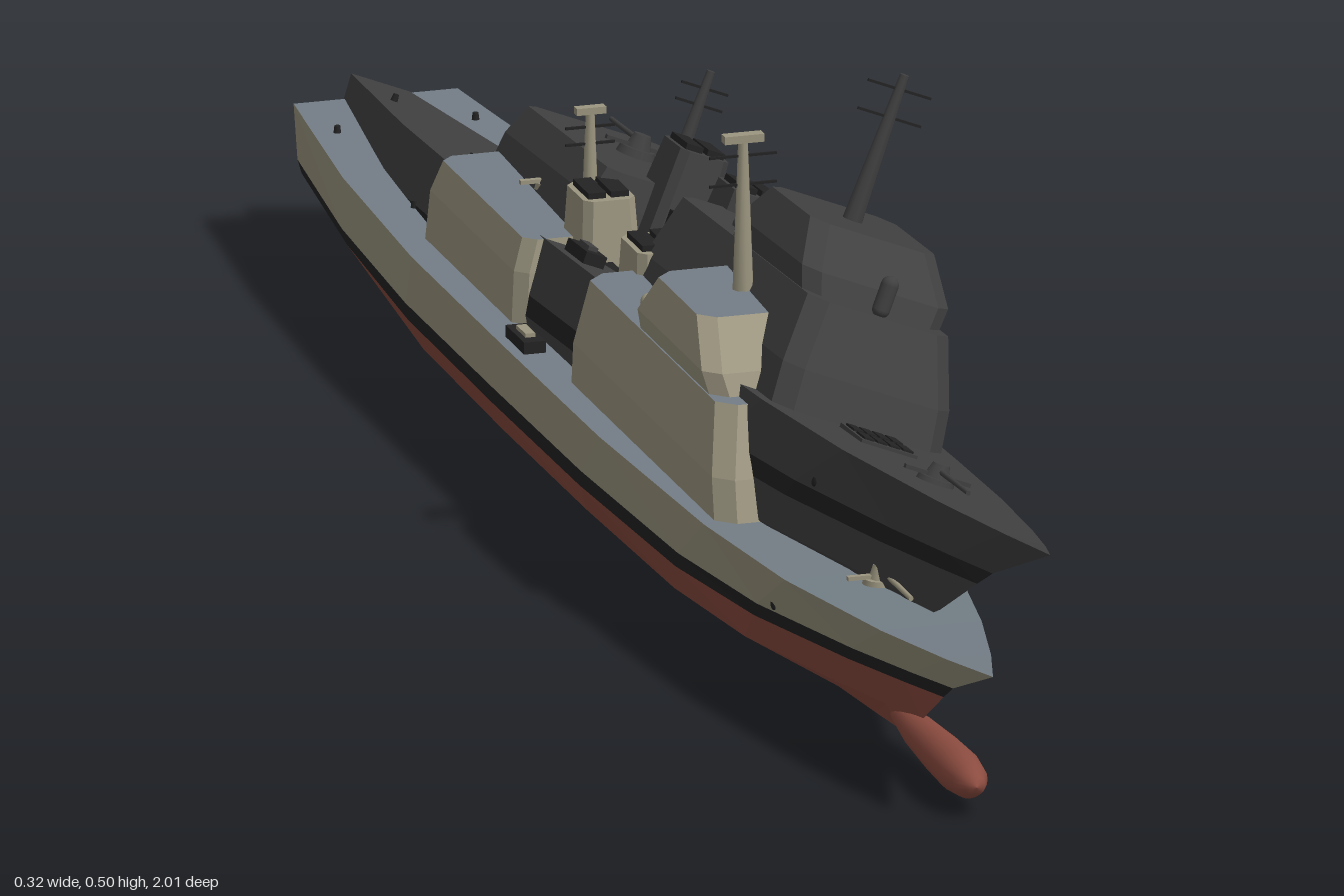
import * as THREE from 'three';

const mat = (name, color) => {
  const m = new THREE.MeshStandardMaterial({ color });
  m.name = name;
  return m;
};

const quad = (out, a, b, c, d) => out.push(...a, ...b, ...c, ...a, ...c, ...d);

function facets(points) {
  const g = new THREE.BufferGeometry();
  g.setAttribute('position', new THREE.Float32BufferAttribute(points, 3));
  g.computeVertexNormals();
  return g;
}

function add(group, name, geometry, material, x = 0, y = 0, z = 0) {
  const m = new THREE.Mesh(geometry, material);
  m.name = name;
  m.position.set(x, y, z);
  group.add(m);
  return m;
}

const box = (w, h, d) => new THREE.BoxGeometry(w, h, d);

// Tapered house with cut corners; rings are [y, half width, front z, back z]
function addHouse(group, name, rings, wall, roof, c = 0.012) {
  const loops = rings.map(([y, w, f, b]) => [
    [c - w, y, f], [w - c, y, f], [w, y, f - c], [w, y, b + c],
    [w - c, y, b], [c - w, y, b], [-w, y, b + c], [-w, y, f - c]]);
  const sides = [], top = [];
  for (let r = 0; r < loops.length - 1; r++) {
    for (let i = 0; i < 8; i++) {
      const j = (i + 1) % 8;
      quad(sides, loops[r][i], loops[r][j], loops[r + 1][j], loops[r + 1][i]);
    }
  }
  const t = loops[loops.length - 1];
  for (let i = 1; i < 7; i++) top.push(...t[0], ...t[i], ...t[i + 1]);
  add(group, name + 'Walls', facets(sides), wall);
  add(group, name + 'Roof', facets(top), roof);
}

// Hull lines: half widths along the length for each level, and the stem z
const T = [0, 0.04, 0.1, 0.2, 0.3, 0.45, 0.6, 0.75, 0.88, 1];
const LEVELS = [
  { stem: 1.0, y: 0.14, bow: 0.018, stern: 0, w: [0, 0.023, 0.051, 0.086, 0.105, 0.118, 0.12, 0.12, 0.108, 0.083] },
  { stem: 0.87, y: 0.083, bow: 0.024, stern: 0, w: [0, 0.018, 0.044, 0.082, 0.103, 0.114, 0.116, 0.116, 0.104, 0.079] },
  { stem: 0.84, y: 0.063, bow: 0.026, stern: 0.006, w: [0, 0.016, 0.04, 0.077, 0.099, 0.11, 0.112, 0.111, 0.098, 0.075] },
  { stem: 0.77, y: 0.025, bow: 0.02, stern: 0.032, w: [0, 0.014, 0.035, 0.069, 0.085, 0.091, 0.092, 0.09, 0.078, 0.06] },
  { stem: 0.7, y: 0, bow: 0.014, stern: 0.045, w: [0, 0.004, 0.01, 0.024, 0.034, 0.037, 0.037, 0.035, 0.028, 0.02] },
];

function hullPoint(level, i, side) {
  const l = LEVELS[level], t = T[i];
  const bow = Math.max(0, 1 - t / 0.35) ** 2, stern = Math.max(0, (t - 0.72) / 0.28) ** 1.4;
  return [side * l.w[i], l.y + l.bow * bow + l.stern * stern, l.stem - t * (l.stem + 1)];
}

function addHull(g, c) {
  const names = ['upperHull', 'waterlineStripe', 'lowerHull', 'bottomHull'];
  const mats = [c.hull, c.black, c.bottom, c.bottom];
  const n = T.length - 1;
  for (let k = 0; k < 4; k++) {
    const p = [];
    for (let i = 0; i < n; i++) {
      quad(p, hullPoint(k, i, 1), hullPoint(k + 1, i, 1), hullPoint(k + 1, i + 1, 1), hullPoint(k, i + 1, 1));
      quad(p, hullPoint(k, i + 1, -1), hullPoint(k + 1, i + 1, -1), hullPoint(k + 1, i, -1), hullPoint(k, i, -1));
    }
    // transom
    quad(p, hullPoint(k, n, 1), hullPoint(k + 1, n, 1), hullPoint(k + 1, n, -1), hullPoint(k, n, -1));
    add(g, names[k], facets(p), mats[k]);
  }
  const deck = [], keel = [];
  for (let i = 0; i < n; i++) {
    quad(deck, hullPoint(0, i, 1), hullPoint(0, i + 1, 1), hullPoint(0, i + 1, -1), hullPoint(0, i, -1));
    quad(keel, hullPoint(4, i, -1), hullPoint(4, i + 1, -1), hullPoint(4, i + 1, 1), hullPoint(4, i, 1));
  }
  add(g, 'deck', facets(deck), c.deck);
  add(g, 'keelPlate', facets(keel), c.bottom);

  for (const s of [-1, 1]) {
    add(g, 'rudder', box(0.008, 0.05, 0.06), c.bottom, s * 0.035, 0.028, -0.88);
    const shaft = add(g, 'propellerShaft', new THREE.CylinderGeometry(0.004, 0.004, 0.2, 8), c.bottom, s * 0.035, 0.018, -0.72);
    shaft.rotation.x = Math.PI / 2;
    const slot = add(g, 'hullSlot', new THREE.SphereGeometry(1, 8, 6), c.black, s * 0.077, 0.1, 0.535);
    slot.scale.set(0.003, 0.008, 0.006);
  }
  const anchor = add(g, 'anchor', new THREE.SphereGeometry(1, 10, 8), c.black, 0.025, 0.142, 0.868);
  anchor.scale.set(0.004, 0.009, 0.008);
}

// Blunt-nosed bulb under the bow
function addBulb(g, c) {
  const profile = [[0, -0.14], [0.01, -0.11], [0.017, -0.05], [0.021, 0.03], [0.022, 0.08], [0.018, 0.115], [0.01, 0.133], [0, 0.138]];
  const bulb = new THREE.LatheGeometry(profile.map(([r, y]) => new THREE.Vector2(r, y)), 20);
  add(g, 'bowBulb', bulb, c.bottom, 0, 0.03, 0.81).rotation.x = Math.PI / 2;
}

function addMast(g, c, name, z, y0, y1, r, yards) {
  add(g, name, new THREE.CylinderGeometry(r * 0.55, r * 1.2, y1 - y0, 8), c.wall, 0, (y0 + y1) / 2, z);
  for (const [y, w] of yards) add(g, name + 'Yard', box(w, 0.0025, 0.0025), c.black, 0, y, z);
}

function addGun(g, c, y, z, dir) {
  const gun = new THREE.Group();
  gun.name = 'gun';
  add(gun, 'gunBase', new THREE.CylinderGeometry(0.018, 0.02, 0.008, 14), c.wall, 0, 0.004, 0);
  add(gun, 'gunHouse', new THREE.CylinderGeometry(0.009, 0.015, 0.018, 8), c.wall, 0, 0.013, 0);
  add(gun, 'gunBarrel', new THREE.CylinderGeometry(0.0025, 0.003, 0.09, 8), c.wall, 0, 0.015, 0.05).rotation.x = Math.PI / 2;
  add(gun, 'gunArms', box(0.07, 0.004, 0.006), c.wall, 0, 0.01, 0);
  gun.position.set(0, y, z);
  if (dir < 0) gun.rotation.y = Math.PI;
  g.add(gun);
}

function createShip(name, c) {
  const g = new THREE.Group();
  g.name = name;
  addHull(g, c);

  // superstructure
  addHouse(g, 'mainHouse', [[0.135, 0.092, 0.41, -0.09], [0.18, 0.09, 0.395, -0.09], [0.245, 0.076, 0.36, -0.08]], c.wall, c.deck, 0.018);
  addHouse(g, 'bridge', [[0.243, 0.074, 0.335, 0.08], [0.266, 0.079, 0.325, 0.085], [0.306, 0.067, 0.27, 0.115]], c.wall, c.deck, 0.016);
  addHouse(g, 'aftHouse', [[0.135, 0.09, -0.26, -0.565], [0.19, 0.086, -0.265, -0.56], [0.222, 0.076, -0.27, -0.55]], c.wall, c.deck);
  addHouse(g, 'midHouse', [[0.135, 0.05, -0.07, -0.28], [0.165, 0.048, -0.07, -0.28]], c.wall, c.deck, 0.005);

  // funnels with dark caps and uptakes
  for (const z of [-0.095, -0.27]) {
    addHouse(g, 'funnel', [[0.16, 0.032, z + 0.045, z - 0.04], [0.266, 0.026, z + 0.034, z - 0.034]], c.wall, c.wall, 0.008);
    for (const s of [-1, 1]) add(g, 'funnelUptake', box(0.018, 0.008, 0.05), c.black, s * 0.0115, 0.268, z);
  }

  // masts
  addMast(g, c, 'mainMast', 0.19, 0.3, 0.456, 0.009, [[0.412, 0.068], [0.441, 0.068]]);
  addMast(g, c, 'aftMast', -0.305, 0.21, 0.338, 0.008, [[0.303, 0.05], [0.32, 0.05]]);

  // weapons and deck fittings
  addGun(g, c, 0.142, 0.64, 1);
  addGun(g, c, 0.222, -0.42, -1);
  add(g, 'closeDefenceDome', new THREE.CapsuleGeometry(0.009, 0.025, 6, 12), c.wall, 0, 0.264, 0.345);
  add(g, 'launcherBed', box(0.06, 0.006, 0.07), c.wall, 0, 0.142, 0.46);
  for (let i = 0; i < 8; i++) {
    add(g, 'launcherHatch', box(0.011, 0.004, 0.026), c.black, -0.021 + (i % 4) * 0.014, 0.145, i < 4 ? 0.443 : 0.477);
  }
  for (const z of [-0.165, -0.205]) {
    add(g, 'midLauncherPost', new THREE.CylinderGeometry(0.008, 0.01, 0.03, 8), c.wall, 0, 0.18, z);
    for (const s of [-1, 1]) add(g, 'midLauncherTube', box(0.02, 0.018, 0.03), c.black, s * 0.014, 0.2, z);
  }
  for (const s of [-1, 1]) {
    add(g, 'sideTray', box(0.022, 0.012, 0.06), c.black, s * 0.098, 0.146, -0.2);
    add(g, 'sideTrayLid', box(0.01, 0.006, 0.03), c.wall, s * 0.098, 0.153, -0.2);
    add(g, 'roofDome', new THREE.SphereGeometry(0.009, 10, 8), c.wall, s * 0.045, 0.248, 0.03);
    for (const z of [-0.65, -0.9]) add(g, 'bollard', new THREE.CylinderGeometry(0.003, 0.004, 0.008, 8), c.black, s * 0.07, 0.143, z);
  }
  return g;
}

export function createModel() {
  const black = mat('black', 0x232323);
  const tan = mat('tan paint', 0x9c9680);
  const blueGrey = mat('blue grey deck', 0x747e86);
  const red = mat('red bottom paint', 0x8c4c40);
  const grey = mat('dark grey', 0x404041);

  const root = new THREE.Group();
  root.name = 'twinShips';
  const lightColours = { hull: tan, wall: tan, deck: blueGrey, bottom: red, black };
  const light = createShip('uprightShip', lightColours);
  addBulb(light, lightColours);
  add(light, 'mainRadar', box(0.04, 0.008, 0.012), tan, 0, 0.459, 0.19);
  add(light, 'aftRadar', box(0.03, 0.007, 0.01), tan, 0, 0.337, -0.305);
  light.position.x = -0.038;

  // heeled, bow-up dark hull overlapping the upright one
  const dark = createShip('heeledShip', { hull: grey, wall: grey, deck: grey, bottom: grey, black });
  dark.position.set(-0.036, 0.065, 0.003);
  dark.rotation.set(-0.062, 0, -0.38);
  root.add(light, dark);
  return root;
}
